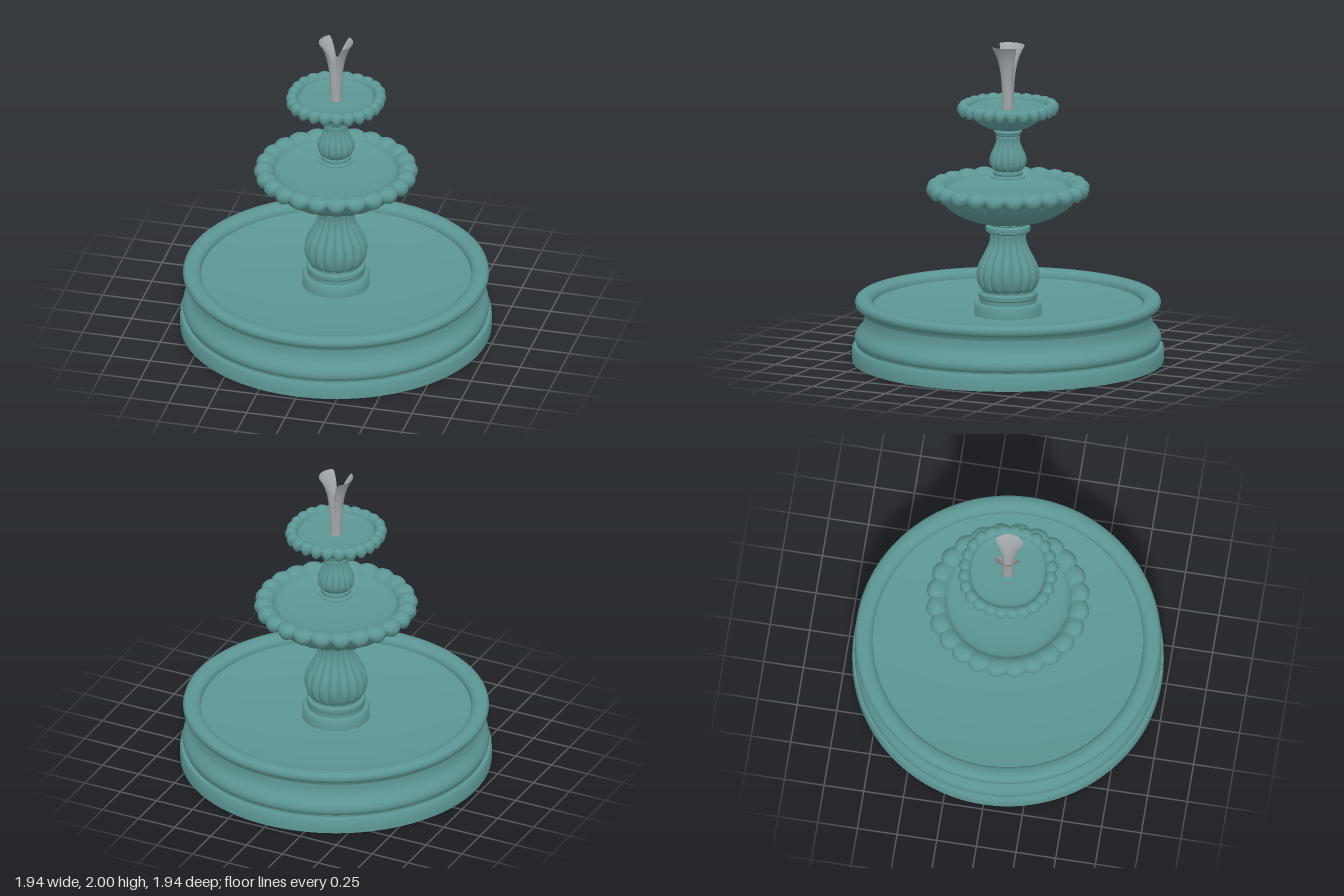
import * as THREE from 'three';
import { toCreasedNormals } from 'three/addons/utils/BufferGeometryUtils.js';

const patina = new THREE.MeshStandardMaterial({ color: 0x5c9693 });
patina.name = 'patina teal';
const water = new THREE.MeshStandardMaterial({ color: 0xa3a8aa, side: THREE.DoubleSide });
water.name = 'water grey';

// Turned part. Each point is [radius, height, lobe depth, lobe lift];
// depth pulls the grooves inward, lift moves them up or down.
function turned(name, pts, { lobes = 0, segments = 96, smooth = 1, square = 0, crease = 0.6 } = {}) {
  const n = (pts.length - 1) * smooth;
  const outline = new THREE.SplineCurve(pts.map(p => new THREE.Vector2(p[0], p[1]))).getPoints(n);
  const fluting = new THREE.SplineCurve(pts.map(p => new THREE.Vector2(p[2] || 0, p[3] || 0))).getPoints(n);
  outline.forEach(p => { p.x = Math.max(0, p.x); });
  const geo = new THREE.LatheGeometry(outline, segments);
  const pos = geo.attributes.position;
  for (let i = 0; i < pos.count; i++) {
    const x = pos.getX(i), y = pos.getY(i), z = pos.getZ(i);
    const a = Math.atan2(x, z);
    const f = fluting[i % outline.length];
    const groove = lobes ? 1 - Math.pow(Math.abs(Math.cos(a * lobes / 2)), 0.8) : 0;
    const r = Math.max(0, Math.hypot(x, z) * (1 - square * Math.cos(4 * a)) - f.x * groove);
    pos.setXYZ(i, r * Math.sin(a), y + f.y * groove, r * Math.cos(a));
  }
  geo.deleteAttribute('uv');
  const mesh = new THREE.Mesh(toCreasedNormals(geo, crease), patina);
  mesh.name = name;
  return mesh;
}

// Pool with plinth, hollowed side, rolled rim and dished floor
function basin() {
  return turned('basin', [
    [0, 0], [0.97, 0], [0.97, 0.09], [0.962, 0.1], [0.94, 0.1], [0.94, 0.112],
    [0.948, 0.12], [0.955, 0.14], [0.953, 0.16], [0.94, 0.185], [0.917, 0.21], [0.9, 0.24],
    [0.892, 0.27], [0.89, 0.305], [0.905, 0.308], [0.91, 0.325], [0.918, 0.337], [0.94, 0.342],
    [0.95, 0.355], [0.953, 0.372], [0.948, 0.39], [0.935, 0.401], [0.9, 0.404], [0.87, 0.398],
    [0.85, 0.385], [0.843, 0.365], [0.843, 0.35], [0.7, 0.327], [0.5, 0.307], [0.25, 0.297], [0, 0.295],
  ], { segments: 128, crease: 0.7 });
}

// Pedestal: ringed foot, fluted vase body and collar
function pedestal(name, foot, body, collar, lobes) {
  const g = new THREE.Group();
  g.name = name;
  g.add(turned('foot', foot));
  g.add(turned('flutedBody', body, { lobes, segments: lobes * 10, smooth: 4, crease: 0.9 }));
  g.add(turned('collar', collar));
  return g;
}

// Dish: fluted underside, rolled scalloped lip and shallow floor
function dish(name, pts, square) {
  return turned(name, pts, { lobes: 24, segments: 240, smooth: 3, square, crease: 1 });
}

// Jet: flared tube splitting into two petals along x
function waterJet() {
  const geo = new THREE.CylinderGeometry(1, 1, 1, 96, 24, true);
  const pos = geo.attributes.position;
  for (let i = 0; i < pos.count; i++) {
    const a = Math.atan2(pos.getZ(i), pos.getX(i));
    const t = pos.getY(i) + 0.5;
    const split = THREE.MathUtils.smoothstep(Math.abs(Math.sin(a)), 0.8, 1);
    const r = 0.035 + 0.012 * t * (1 - split) + 0.06 * Math.pow(t, 4) * (1 - split);
    pos.setXYZ(i, r * Math.cos(a), 1.59 + t * (0.41 - 0.12 * split), -r * Math.sin(a));
  }
  // z is mirrored above, so turn the faces back outward
  const ix = geo.index;
  for (let i = 0; i < ix.count; i += 3) {
    const b = ix.getX(i + 1);
    ix.setX(i + 1, ix.getX(i + 2));
    ix.setX(i + 2, b);
  }
  geo.deleteAttribute('uv');
  const mesh = new THREE.Mesh(toCreasedNormals(geo, 1), water);
  mesh.name = 'waterJet';
  return mesh;
}

export function createModel() {
  const model = new THREE.Group();
  model.name = 'tieredFountain';
  model.add(basin());

  model.add(pedestal('lowerPedestal',
    [[0, 0.28], [0.21, 0.28], [0.21, 0.355], [0.2, 0.37], [0.178, 0.375], [0.178, 0.4], [0.183, 0.407],
      [0.183, 0.43], [0.176, 0.438], [0.16, 0.44], [0.16, 0.455], [0, 0.455]],
    [[0.14, 0.44, 0], [0.17, 0.46, 0.008], [0.19, 0.5, 0.018], [0.197, 0.55, 0.022], [0.185, 0.61, 0.022],
      [0.155, 0.67, 0.018], [0.125, 0.73, 0.014], [0.112, 0.78, 0.01], [0.112, 0.82, 0.006], [0.1, 0.835, 0]],
    [[0, 0.812], [0.11, 0.812], [0.125, 0.816], [0.138, 0.824], [0.141, 0.84], [0.138, 0.855], [0.125, 0.862],
      [0.12, 0.866], [0.124, 0.872], [0.122, 0.88], [0, 0.88]], 16));

  model.add(dish('lowerBowl', [
    [0, 0.888], [0.15, 0.888, 0.002], [0.23, 0.9, 0.006], [0.32, 0.937, 0.012], [0.39, 0.985, 0.014],
    [0.43, 1.035, 0.012], [0.448, 1.06, 0.01], [0.47, 1.045, 0.015, 0.03], [0.49, 1.045, 0.025, 0.03],
    [0.51, 1.08, 0.03, 0.012], [0.503, 1.115, 0.022, -0.006], [0.475, 1.138, 0.012, -0.014],
    [0.43, 1.138, 0, -0.014], [0.395, 1.115, 0, -0.006], [0.37, 1.085], [0.28, 1.067], [0.14, 1.056], [0, 1.053],
  ], 0));

  model.add(pedestal('upperPedestal',
    [[0, 1.165], [0.105, 1.165], [0.105, 1.172], [0.088, 1.176], [0.086, 1.185], [0.094, 1.19], [0.094, 1.204],
      [0.085, 1.21], [0, 1.21]],
    [[0.07, 1.2, 0], [0.092, 1.215, 0.006], [0.11, 1.24, 0.012], [0.116, 1.27, 0.015], [0.108, 1.31, 0.015],
      [0.09, 1.35, 0.011], [0.076, 1.39, 0.008], [0.074, 1.425, 0.004], [0.065, 1.44, 0]],
    [[0, 1.43], [0.068, 1.43], [0.078, 1.437], [0.08, 1.447], [0.086, 1.452], [0.086, 1.462], [0.08, 1.467],
      [0, 1.467]], 14));

  model.add(dish('upperBowl', [
    [0, 1.47], [0.08, 1.472, 0.004], [0.135, 1.487, 0.014], [0.19, 1.52, 0.02], [0.232, 1.557, 0.02],
    [0.257, 1.585, 0.012], [0.272, 1.582, 0.01, 0.015], [0.288, 1.562, 0.014, 0.028], [0.303, 1.567, 0.018, 0.026],
    [0.315, 1.6, 0.02, 0.01], [0.308, 1.628, 0.014, -0.005], [0.288, 1.644, 0.008, -0.01],
    [0.262, 1.643, 0, -0.01], [0.243, 1.625, 0, -0.004], [0.232, 1.605], [0.16, 1.598], [0.08, 1.595], [0, 1.594],
  ], 0.02));

  model.add(waterJet());
  return model;
}
